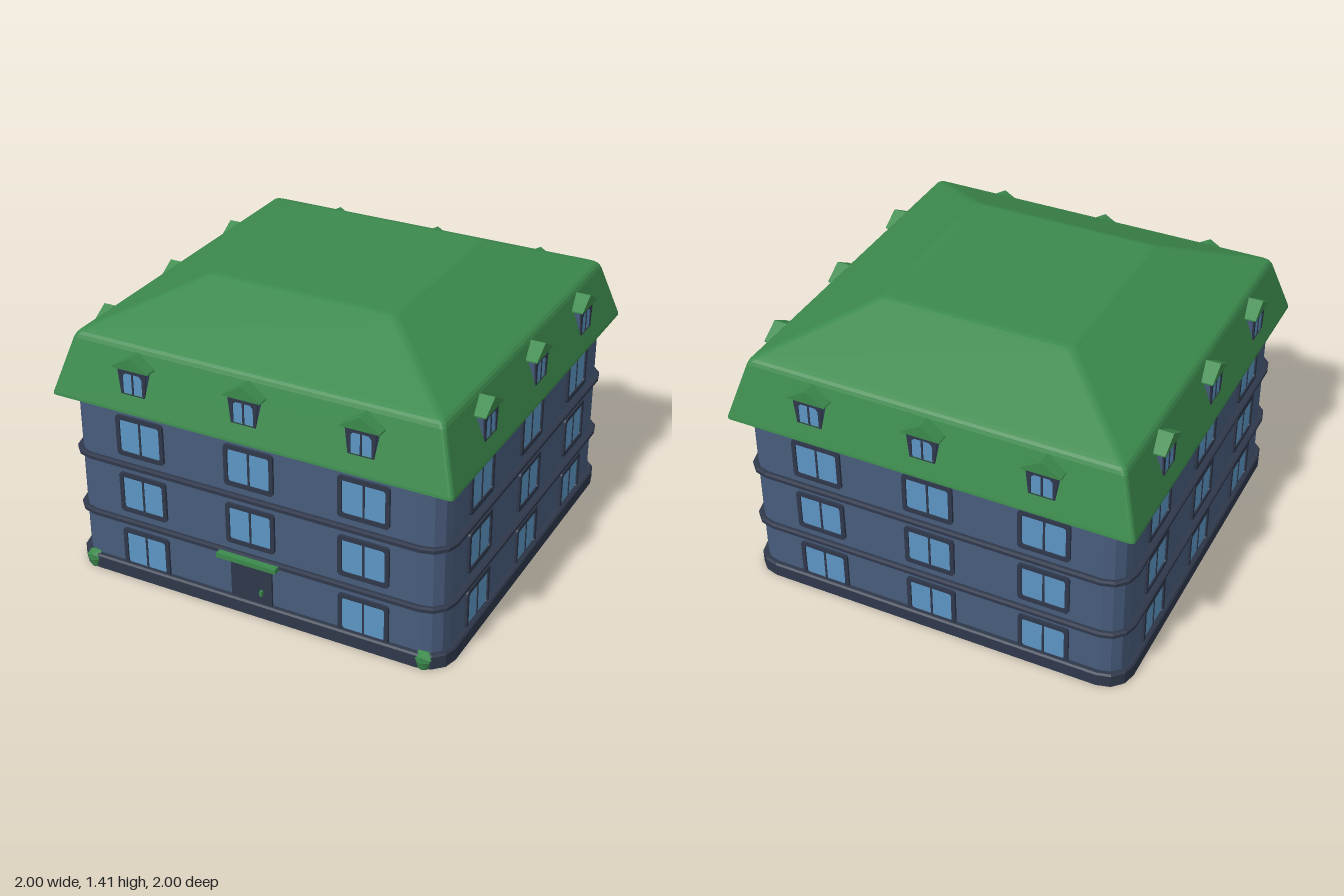
import * as THREE from 'three';

const paint = (name, color) => {
  const m = new THREE.MeshStandardMaterial({ color });
  m.name = name;
  return m;
};

// Ring of points around a square with rounded corners, counterclockwise from above
function ring(half, y, r, segs = 3) {
  const pts = [];
  for (let q = 0; q < 4; q++) {
    const mid = Math.PI / 4 + q * Math.PI / 2;
    const cx = Math.sign(Math.cos(mid)) * (half - r);
    const cz = -Math.sign(Math.sin(mid)) * (half - r);
    for (let i = 0; i <= segs; i++) {
      const a = (q + i / segs) * Math.PI / 2;
      pts.push([cx + r * Math.cos(a), y, cz - r * Math.sin(a)]);
    }
  }
  return pts;
}

// Closed faceted solid through rings given as [half, y, cornerRadius]
function loft(sections) {
  const rings = sections.map(s => ring(...s));
  const n = rings[0].length, pos = [];
  const tri = (...p) => p.forEach(v => pos.push(...v));
  for (let k = 0; k < rings.length - 1; k++) {
    for (let i = 0; i < n; i++) {
      const j = (i + 1) % n, lo = rings[k], hi = rings[k + 1];
      tri(lo[i], lo[j], hi[j]);
      tri(lo[i], hi[j], hi[i]);
    }
  }
  const bottom = rings[0], top = rings[rings.length - 1];
  for (let i = 0; i < n; i++) {
    const j = (i + 1) % n;
    tri([0, bottom[0][1], 0], bottom[j], bottom[i]);
    tri([0, top[0][1], 0], top[i], top[j]);
  }
  const g = new THREE.BufferGeometry();
  g.setAttribute('position', new THREE.Float32BufferAttribute(pos, 3));
  g.computeVertexNormals();
  return g;
}

function roundedRect(w, h, r, Type = THREE.Shape) {
  const s = new Type(), x = w / 2, y = h / 2, q = Math.PI / 2;
  s.absarc(x - r, y - r, r, 0, q);
  s.absarc(-x + r, y - r, r, q, 2 * q);
  s.absarc(-x + r, -y + r, r, 2 * q, 3 * q);
  s.absarc(x - r, -y + r, r, 3 * q, 4 * q);
  s.closePath();
  return s;
}

const polygon = (pts, Type = THREE.Shape) => new Type(pts.map(p => new THREE.Vector2(...p)));
const extrude = (shape, depth) =>
  new THREE.ExtrudeGeometry(shape, { depth, bevelEnabled: false, curveSegments: 4 });

export function createModel() {
  const roofGreen = paint('roof green', 0x3c8a4d);
  const wallBlue = paint('wall blue', 0x485c7c);
  const trimNavy = paint('trim navy', 0x2f384b);
  const glassBlue = paint('glass blue', 0x5c95c4);

  const model = new THREE.Group();
  model.name = 'mansardHouse';
  const add = (parent, name, geo, mat, x = 0, y = 0, z = 0) => {
    const m = new THREE.Mesh(geo, mat);
    m.name = name;
    m.position.set(x, y, z);
    parent.add(m);
    return m;
  };

  // Walls, plinth and floor bands
  add(model, 'walls', loft([[0.942, 0.03, 0.1], [0.942, 0.93, 0.1]]), wallBlue);
  add(model, 'plinth', loft([[0.97, 0, 0.13], [0.97, 0.062, 0.13], [0.962, 0.07, 0.122]]), trimNavy);
  for (const y of [0.29, 0.594]) {
    add(model, 'floorBand', loft([
      [0.956, y, 0.115], [0.968, y + 0.005, 0.127], [0.968, y + 0.021, 0.127], [0.956, y + 0.026, 0.115],
    ]), trimNavy);
  }

  // Double-pitched roof with softened edges
  add(model, 'roof', loft([
    [0.99, 0.91, 0.015], [1, 0.914, 0.02], [0.998, 0.926, 0.02], [0.919, 1.187, 0.02],
    [0.911, 1.203, 0.022], [0.9, 1.214, 0.025], [0.88, 1.224, 0.025],
    [0.495, 1.4, 0.03], [0.475, 1.409, 0.03], [0.455, 1.413, 0.03],
  ]), roofGreen);

  // Shared window and dormer geometry
  const frameShape = roundedRect(0.25, 0.208, 0.018);
  frameShape.holes.push(roundedRect(0.21, 0.164, 0.012, THREE.Path));
  const frameGeo = extrude(frameShape, 0.016);
  const glassGeo = new THREE.BoxGeometry(0.214, 0.168, 0.008);
  const mullionGeo = new THREE.BoxGeometry(0.01, 0.168, 0.011);

  const outline = [[-0.062, 1], [0.062, 1], [0.076, 1.135], [-0.076, 1.135]];
  const dormerBodyGeo = extrude(polygon(outline), 0.1);
  const dormerFrame = polygon(outline);
  dormerFrame.holes.push(polygon(
    [[-0.05, 1.003], [-0.05, 1.09], [-0.036, 1.105], [0.036, 1.105], [0.05, 1.09], [0.05, 1.003]], THREE.Path));
  const dormerFrameGeo = extrude(dormerFrame, 0.008);
  const dormerGlassGeo = new THREE.BoxGeometry(0.102, 0.106, 0.004);
  const dormerMullionGeo = new THREE.BoxGeometry(0.009, 0.106, 0.006);
  const dormerRoofGeo = extrude(polygon([[-0.094, 1.128], [0.094, 1.128], [0.094, 1.134], [0, 1.19], [-0.094, 1.134]]), 0.11);

  const addWindow = (side, x, y) => {
    const w = new THREE.Group();
    w.name = 'window';
    w.position.set(x, y, 0.938);
    add(w, 'windowFrame', frameGeo, trimNavy);
    add(w, 'windowGlass', glassGeo, glassBlue, 0, 0, 0.005);
    add(w, 'windowMullion', mullionGeo, trimNavy, 0, 0, 0.0065);
    side.add(w);
  };
  const addDormer = (side, x) => {
    const d = new THREE.Group();
    d.name = 'dormer';
    d.position.x = x;
    add(d, 'dormerWalls', dormerBodyGeo, wallBlue, 0, 0, 0.87);
    add(d, 'dormerFrame', dormerFrameGeo, trimNavy, 0, 0, 0.97);
    add(d, 'dormerGlass', dormerGlassGeo, glassBlue, 0, 1.053, 0.972);
    add(d, 'dormerMullion', dormerMullionGeo, trimNavy, 0, 1.053, 0.974);
    add(d, 'dormerRoof', dormerRoofGeo, roofGreen, 0, 0, 0.88);
    side.add(d);
  };

  // Four facades; the front has a door in place of its middle ground-floor window
  for (let k = 0; k < 4; k++) {
    const side = new THREE.Group();
    side.name = ['frontFacade', 'leftFacade', 'backFacade', 'rightFacade'][k];
    side.rotation.y = k * Math.PI / 2;
    for (const x of [-0.567, 0, 0.567]) {
      [0.155, 0.459, 0.761].forEach((y, floor) => {
        if (k || x || floor) addWindow(side, x, y);
      });
      addDormer(side, x);
    }
    model.add(side);
  }

  // Entrance
  add(model, 'door', extrude(roundedRect(0.212, 0.24, 0.015), 0.015), trimNavy, 0, 0.16, 0.938);
  add(model, 'doorHandle', new THREE.BoxGeometry(0.012, 0.026, 0.02), roofGreen, 0.056, 0.132, 0.96);
  add(model, 'doorCanopy', new THREE.BoxGeometry(0.306, 0.024, 0.07), roofGreen, 0, 0.299, 0.965);

  // Corner shrubs
  for (const s of [-1, 1]) {
    const shrub = new THREE.Group();
    shrub.name = 'shrub';
    shrub.position.set(s * 0.865, 0, 0.945);
    add(shrub, 'shrubBase', new THREE.CylinderGeometry(0.04, 0.03, 0.04, 7).toNonIndexed(), roofGreen, 0, 0.02, 0);
    add(shrub, 'shrubCrown', new THREE.IcosahedronGeometry(0.046, 0), roofGreen, 0, 0.05, 0).scale.set(1.05, 0.75, 0.9);
    model.add(shrub);
  }
  return model;
}
